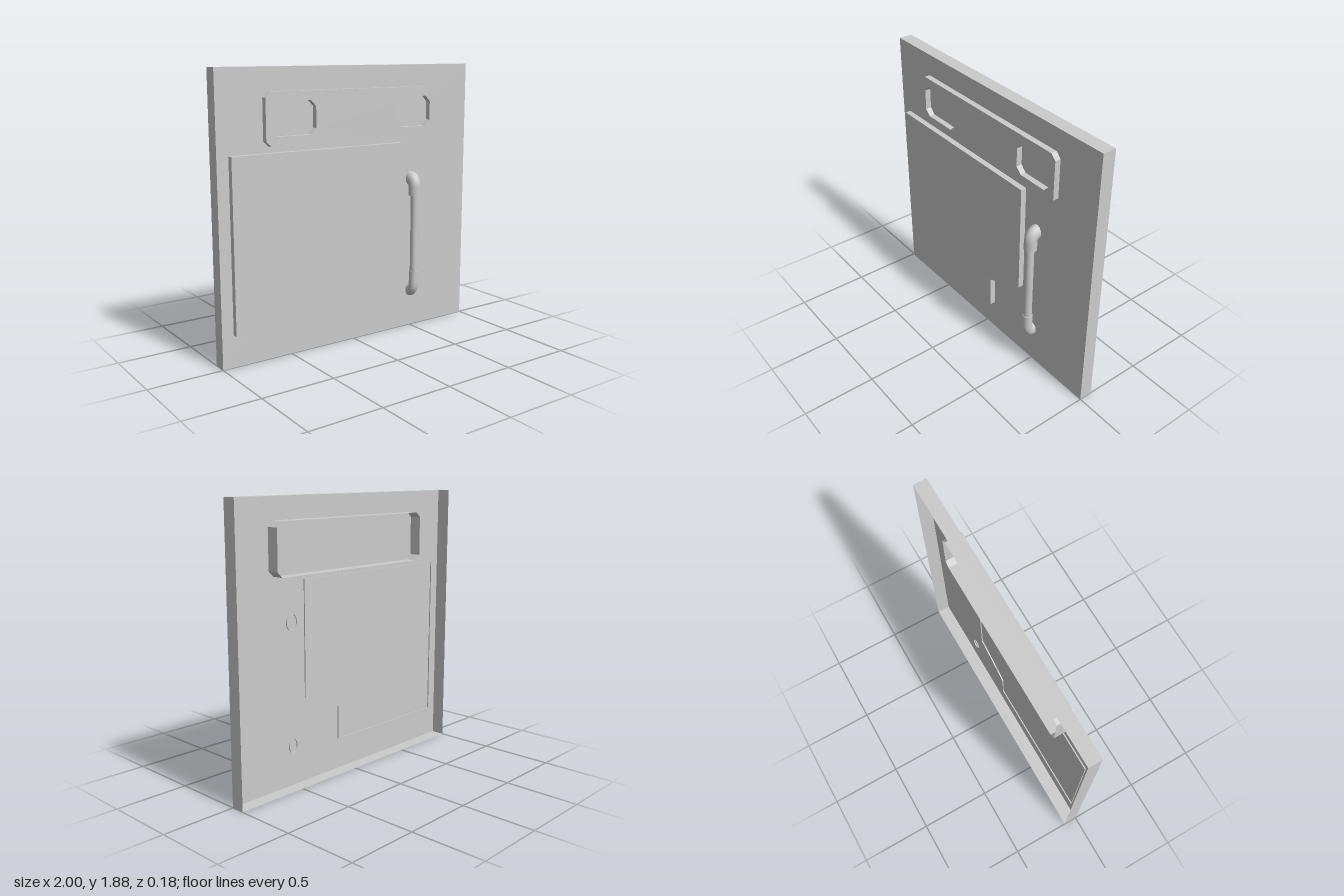
import * as THREE from 'three';
import { mergeGeometries } from 'three/addons/utils/BufferGeometryUtils.js';

const material = new THREE.MeshStandardMaterial({ color: 0xcccccc, side: THREE.DoubleSide });

// Counter-clockwise rectangle with optional chamfered corners
function outline(x0, x1, y0, y1, c = 0) {
  if (!c) return [[x0, y0], [x1, y0], [x1, y1], [x0, y1]];
  return [[x0 + c, y0], [x1 - c, y0], [x1, y0 + c], [x1, y1 - c],
    [x1 - c, y1], [x0 + c, y1], [x0, y1 - c], [x0, y0 + c]];
}

// Thin wall that follows an outline between two depths
function wall(pts, z0, z1) {
  const v = [];
  pts.forEach(([ax, ay], i) => {
    const [bx, by] = pts[(i + 1) % pts.length];
    v.push(ax, ay, z0, bx, by, z0, bx, by, z1, ax, ay, z0, bx, by, z1, ax, ay, z1);
  });
  const g = new THREE.BufferGeometry();
  g.setAttribute('position', new THREE.Float32BufferAttribute(v, 3));
  g.computeVertexNormals();
  return g;
}

// Flat front face with openings
function face(pts, z, holes = []) {
  const toVectors = (list) => list.map(([x, y]) => new THREE.Vector2(x, y));
  const shape = new THREE.Shape(toVectors(pts));
  shape.holes = holes.map((h) => new THREE.Path(toVectors(h)));
  const g = new THREE.ShapeGeometry(shape).toNonIndexed();
  g.deleteAttribute('uv');
  return g.translate(0, 0, z);
}

// Shell open at the back: front face, outer wall and window walls
function shell(name, pts, back, front, holes = []) {
  const parts = [face(pts, front, holes), wall(pts, back, front)];
  holes.forEach((h) => parts.push(wall([...h].reverse(), 0, front)));
  const mesh = new THREE.Mesh(mergeGeometries(parts), material);
  mesh.name = name;
  return mesh;
}

// Handle elbow: straight socket, then a bend into the panel that widens upright
function elbow(name, x, z, yStart, yBend, yEnd, r, widen) {
  const path = new THREE.CurvePath();
  const p = (y, d) => new THREE.Vector3(x, y, d);
  path.add(new THREE.LineCurve3(p(yStart, z), p(yBend, z)));
  path.add(new THREE.QuadraticBezierCurve3(p(yBend, z), p(yEnd, z), p(yEnd, 0)));
  path.add(new THREE.LineCurve3(p(yEnd, 0), p(yEnd, -0.008)));
  const g = new THREE.TubeGeometry(path, 14, r, 20, false);
  const pos = g.attributes.position;
  for (let i = 0; i < pos.count; i++) {
    const t = g.attributes.uv.getX(i);
    const cy = path.getPointAt(t).y;
    pos.setY(i, cy + (pos.getY(i) - cy) * (1 + widen * t));
  }
  g.computeVertexNormals();
  const group = new THREE.Group();
  group.name = name;
  const tube = new THREE.Mesh(g, material);
  tube.name = name + 'Tube';
  // Collar face closing the socket around the bar
  const collar = new THREE.Mesh(new THREE.CircleGeometry(r, 20), material);
  collar.name = name + 'Collar';
  collar.rotation.x = yEnd > yStart ? Math.PI / 2 : -Math.PI / 2;
  collar.position.set(x, yStart, z);
  group.add(tube, collar);
  return group;
}

export function createModel() {
  const model = new THREE.Group();
  model.name = 'wallPanel';

  // Main tray, hollow at the back
  model.add(shell('backPanel', outline(-1, 1, 0, 1.88), -0.093, 0));

  // Upper frame with two windows
  const windows = [
    outline(-0.645, -0.315, 1.45, 1.67, 0.04),
    outline(0.335, 0.63, 1.457, 1.665, 0.04),
  ];
  model.add(shell('windowFrame', outline(-0.68, 0.675, 1.39, 1.73, 0.036), -0.083, 0.04, windows));

  // Raised board with a stepped corner
  const board = [[-0.92, 0.215], [0.08, 0.215], [0.08, 0.445],
    [0.385, 0.575], [0.385, 1.35], [-0.92, 1.35]];
  model.add(shell('raisedBoard', board, -0.008, 0.04));

  // Upright handle
  const handle = new THREE.Group();
  handle.name = 'handle';
  const bar = new THREE.Mesh(new THREE.CylinderGeometry(0.029, 0.029, 0.6, 20), material);
  bar.name = 'handleBar';
  bar.position.set(0.498, 0.69, 0.051);
  handle.add(bar,
    elbow('upperElbow', 0.498, 0.047, 0.97, 1.03, 1.087, 0.043, 0.22),
    elbow('lowerElbow', 0.498, 0.05, 0.42, 0.33, 0.27, 0.034, 0.4));
  model.add(handle);

  return model;
}
